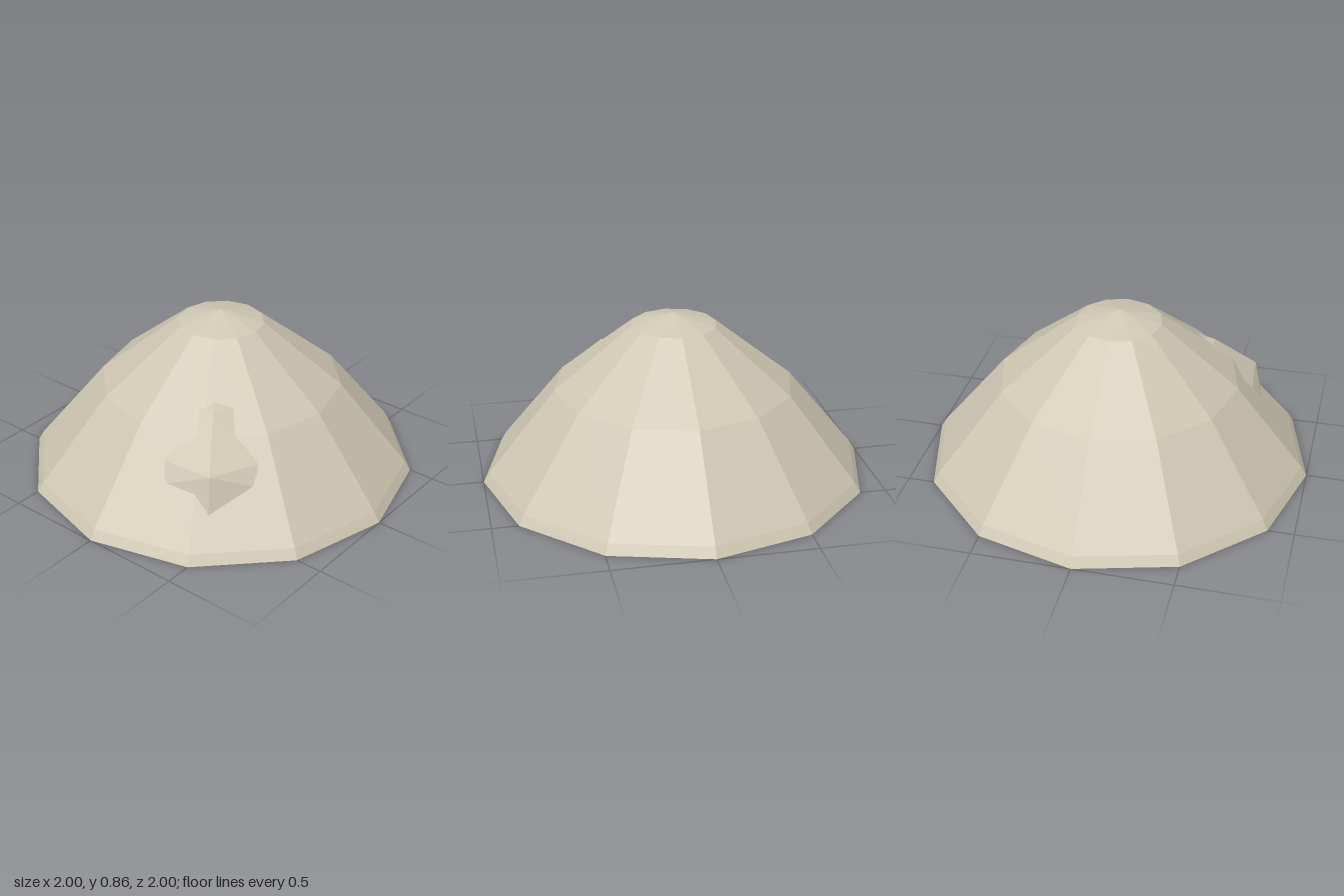
import * as THREE from 'three';

export function createModel() {
  const group = new THREE.Group();
  const stone = new THREE.MeshStandardMaterial({ color: 0xcfc7b3, flatShading: true, side: THREE.DoubleSide });
  stone.name = 'pale stone';

  // Twelve-sided mound with a closed base
  const profile = [[0, 0], [1, 0], [0.97, 0.05], [0.62, 0.48], [0.22, 0.8], [0, 0.86]]
    .map(([r, y]) => new THREE.Vector2(r, y));
  const mound = new THREE.Mesh(new THREE.LatheGeometry(profile, 12), stone);
  mound.name = 'mound';
  group.add(mound);

  // Wedge-shaped nose from cross-sections:
  // [half width, side height, side depth, centre height, centre depth]
  const sections = [
    [0.03, 0.6, 0.44, 0.6, 0.45],
    [0.1, 0.57, 0.477, 0.57, 0.54],
    [0.222, 0.37, 0.66, 0.37, 0.79],
    [0.222, 0.28, 0.72, 0.18, 0.842],
  ];
  const positions = [];
  for (const [w, y, z, cy, cz] of sections) positions.push(-w, y, z, 0, cy, cz, w, y, z);

  const index = [];
  for (let i = 0; i < sections.length - 1; i++) {
    const [l, c, r] = [3 * i, 3 * i + 1, 3 * i + 2];
    const [l2, c2, r2] = [l + 3, c + 3, r + 3];
    index.push(l, l2, c, l2, c2, c, c, c2, r2, c, r2, r);
  }
  const geometry = new THREE.BufferGeometry();
  geometry.setAttribute('position', new THREE.Float32BufferAttribute(positions, 3));
  geometry.setIndex(index);
  geometry.computeVertexNormals();

  const nose = new THREE.Mesh(geometry, stone);
  nose.name = 'nose';
  nose.rotation.y = THREE.MathUtils.degToRad(35);
  group.add(nose);

  return group;
}
